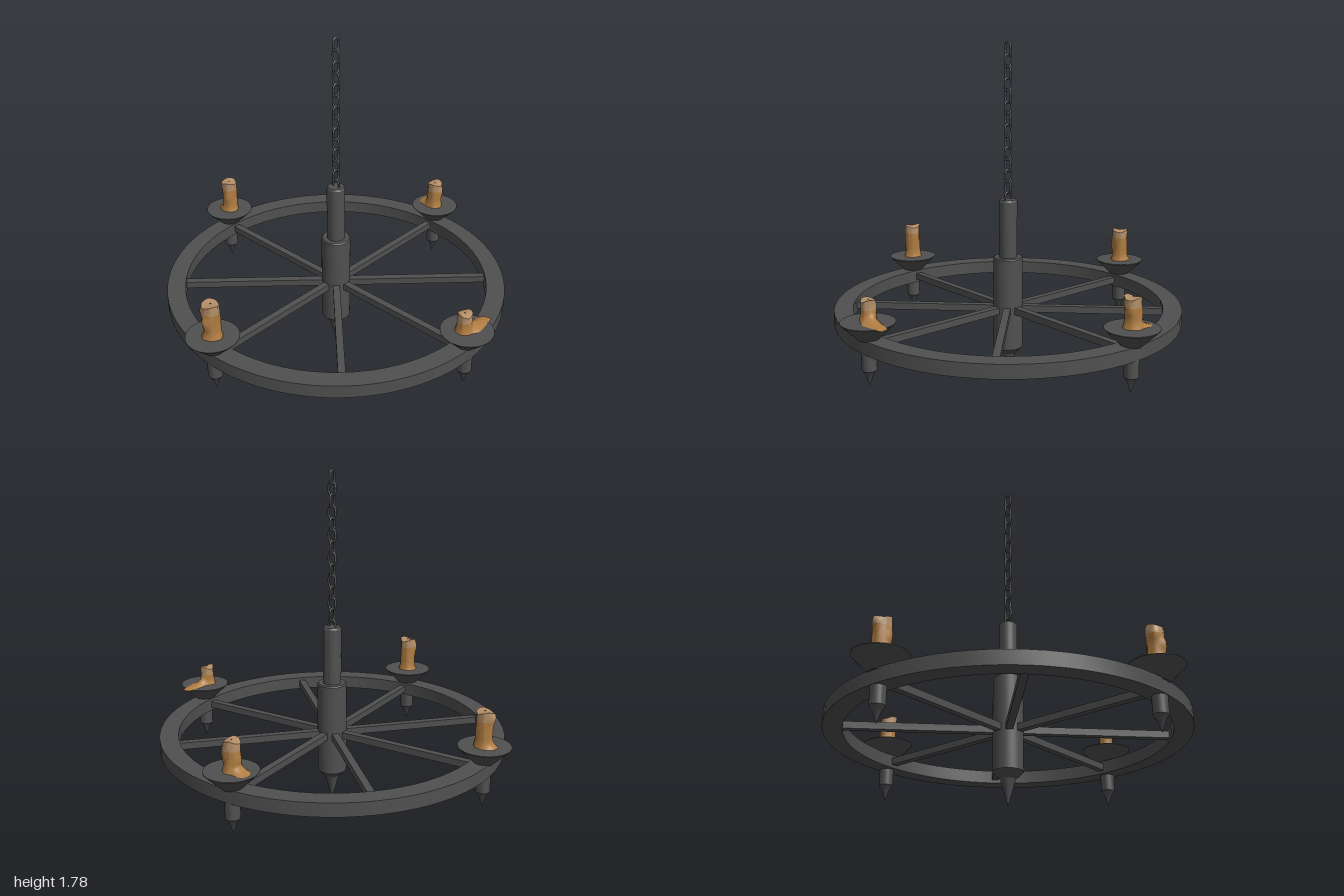
import * as THREE from 'three';
import { toCreasedNormals } from 'three/addons/utils/BufferGeometryUtils.js';

const iron = new THREE.MeshStandardMaterial({ name: 'iron', color: 0x505050 });
const wax = new THREE.MeshStandardMaterial({ name: 'wax', color: 0xb07d42 });
const paleWax = new THREE.MeshStandardMaterial({ name: 'paleWax', color: 0xb59069 });

function add(parent, name, geometry, material) {
  const mesh = new THREE.Mesh(geometry, material);
  mesh.name = name;
  parent.add(mesh);
  return mesh;
}

// Turned part: profile runs counter-clockwise in (radius, height)
function turned(profile, sides) {
  const points = profile.map(([r, y]) => new THREE.Vector2(r, y));
  return toCreasedNormals(new THREE.LatheGeometry(points, sides), 0.5);
}

// One band of a candle, with wavy sides, side bulges and a run of wax at the foot
function candleBand(c, y0, y1, open) {
  const g = new THREE.CylinderGeometry(1, 1, y1 - y0, 28, 12, open);
  g.translate(0, (y0 + y1) / 2, 0);
  const p = g.attributes.position;
  for (let i = 0; i < p.count; i++) {
    const x = p.getX(i), z = p.getZ(i), y = p.getY(i);
    const a = Math.atan2(z, x);
    const edge = Math.min(1, Math.hypot(x, z));
    const t = y / c.height;
    let r = c.radius * (1 + 0.04 * Math.sin(3 * a + 5 * t + c.seed) + 0.03 * Math.sin(7 * a + c.seed));
    // dribbles down the side
    for (const [angle, level, size] of c.bulges) {
      r += size * Math.exp(-((t - level) ** 2) / 0.03) * Math.max(0, Math.cos(a - angle)) ** 6;
    }
    // spilled wax on the dish
    const low = Math.max(0, 1 - y / 0.05);
    for (const [angle, reach, power] of c.spills) {
      r += reach * low ** 3 * Math.max(0, Math.cos(a - angle)) ** power;
    }
    r += 0.008 * low ** 2;
    // uneven melted rim
    const melt = edge * t ** 8 * 0.008 * (Math.sin(2 * a + c.seed) - 0.4);
    p.setXYZ(i, x * r, y + melt, z * r);
  }
  return toCreasedNormals(g, 0.7);
}

function addCandle(parent, c) {
  const candle = new THREE.Group();
  candle.name = c.name;
  candle.position.set(c.x, 0.503, c.z);
  const split = c.height - 0.045;
  add(candle, 'candleBody', candleBand(c, 0, split, true), wax);
  add(candle, 'candleTop', candleBand(c, split, c.height, false), paleWax);
  add(candle, 'wick', new THREE.CylinderGeometry(0.003, 0.003, 0.008, 6), iron)
    .position.y = c.height - 0.001;
  parent.add(candle);
}

export function createModel() {
  const model = new THREE.Group();
  model.name = 'chandelier';
  const arm = 0.868;

  // Central post with pointed end
  add(model, 'centralPost', turned([
    [0, 0.005], [0.038, 0.14], [0.077, 0.178], [0.077, 0.664], [0.071, 0.67],
    [0.048, 0.67], [0.048, 0.966], [0.042, 0.975], [0, 0.975],
  ], 32), iron);

  // Wheel rim
  add(model, 'wheelRim', turned([
    [0.81, 0.355], [0.907, 0.355], [0.907, 0.425], [0.81, 0.425], [0.81, 0.355],
  ], 72), iron);

  // Eight spokes
  for (let i = 0; i < 8; i++) {
    const g = new THREE.BoxGeometry(0.77, 0.036, 0.037);
    g.translate(0.06 + 0.385, 0.39, 0);
    add(model, 'spoke', g, iron).rotation.y = (i * Math.PI) / 4;
  }

  // Four candle holders: spike, socket and dish
  const holder = turned([
    [0, 0.185], [0.02, 0.245], [0.037, 0.267], [0.037, 0.42], [0.05, 0.42],
    [0.132, 0.502], [0.132, 0.505], [0, 0.505],
  ], 32);
  for (let i = 0; i < 4; i++) {
    const a = (i * Math.PI) / 2;
    add(model, 'candleHolder', holder, iron).position.set(arm * Math.cos(a), 0, arm * Math.sin(a));
  }

  // Candles; angles run from +x towards +z
  const half = Math.PI / 2;
  [
    { name: 'frontCandle', x: -0.012, z: 0.856, height: 0.105, radius: 0.036, seed: 1,
      bulges: [[0.3, 0.35, 0.006]], spills: [[0.12, 0.115, 14], [0.7, 0.05, 6]] },
    { name: 'leftCandle', x: arm - 0.002, z: -0.005, height: 0.15, radius: 0.041, seed: 2,
      bulges: [[-half, 0.4, 0.008], [1.2, 0.6, 0.006]], spills: [[-half, 0.05, 5], [-1.1, 0.03, 14]] },
    { name: 'backCandle', x: 0.004, z: -0.864, height: 0.182, radius: 0.042, seed: 3,
      bulges: [[-half, 0.85, 0.012], [2.6, 0.5, 0.006]], spills: [[-half, 0.025, 3]] },
    { name: 'rightCandle', x: -arm + 0.002, z: 0, height: 0.188, radius: 0.042, seed: 4,
      bulges: [[Math.PI, 0.5, 0.013], [-2.2, 0.75, 0.01]], spills: [[-2, 0.006, 3]] },
  ].forEach((c) => addCandle(model, c));

  // Hanging chain of alternating oval links
  const oval = [[0.018, -0.02], [0.018, 0.02], [0.009, 0.031], [-0.009, 0.031],
    [-0.018, 0.02], [-0.018, -0.02], [-0.009, -0.031], [0.009, -0.031]];
  const path = new THREE.CatmullRomCurve3(oval.map(([x, y]) => new THREE.Vector3(x, y, 0)), true);
  const link = new THREE.TubeGeometry(path, 32, 0.0055, 8, true);
  for (let i = 0; i < 14; i++) {
    const mesh = add(model, 'chainLink', link, iron);
    mesh.position.y = 1.742 - i * 0.0585;
    mesh.rotation.y = i % 2 ? half : 0;
  }

  return model;
}
